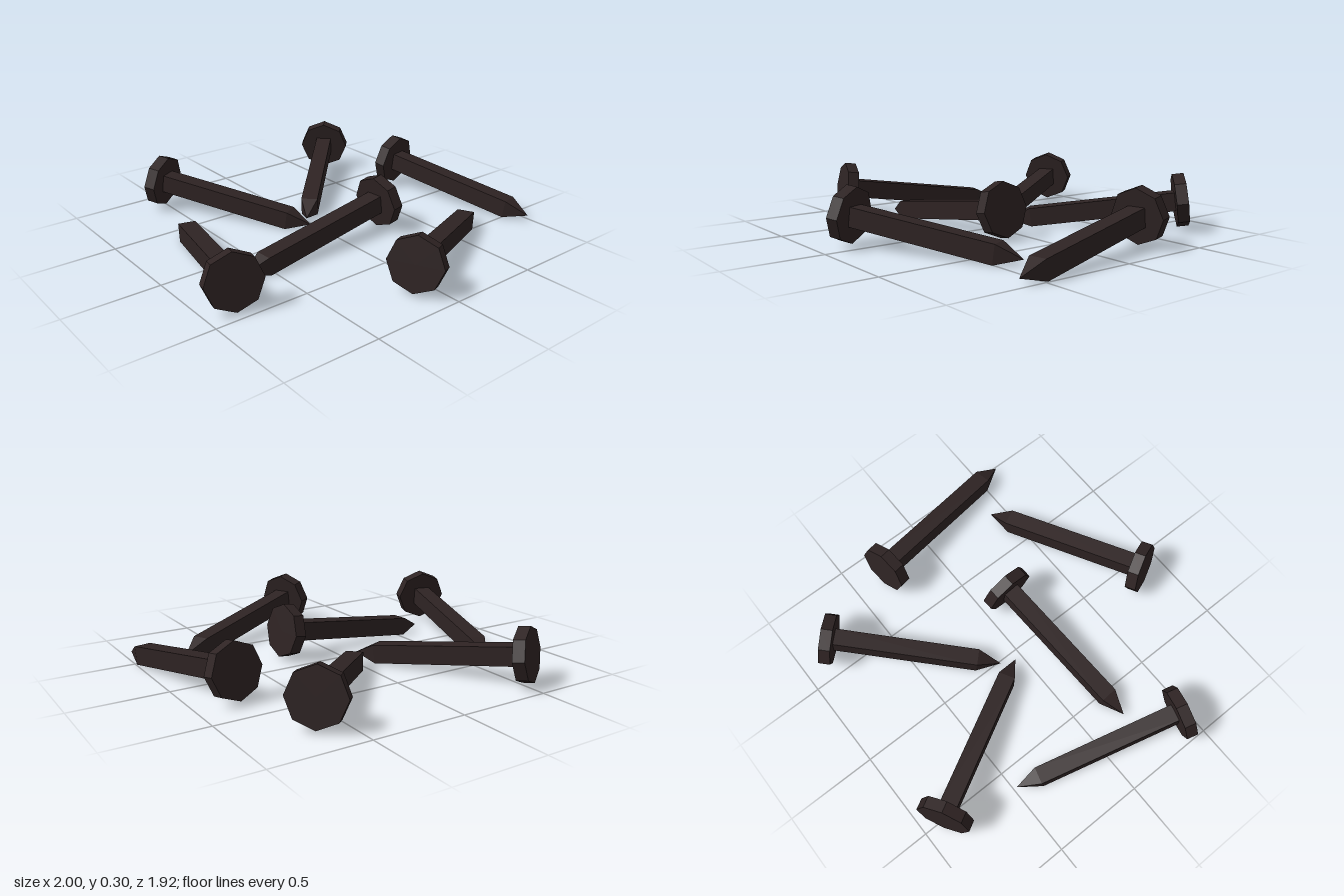
import * as THREE from 'three';

const iron = new THREE.MeshStandardMaterial({ color: 0x2e2323, flatShading: true });
iron.name = 'darkIron';

const LENGTH = 0.945, TIP = 0.13, WIDTH = 0.092, HEIGHT = 0.1;
const HEAD_RADIUS = 0.145, HEAD_THICKNESS = 0.062, HEAD_Y = 0.155, PITCH = 0.132;

// Head and tip positions of each nail on the ground, as [headX, headZ, tipX, tipZ]
const layout = [
  [-0.51, -0.865, -0.055, -0.05],
  [0.64, -0.79, -0.02, -0.125],
  [0.795, -0.295, 0.975, 0.625],
  [0.27, 0.15, -0.665, 0.215],
  [-0.095, 0.815, 0.75, 0.405],
  [-0.855, 0.42, -0.61, -0.485],
];

// Parts run along +z, with the centre of the head at the origin
function makeParts() {
  const head = new THREE.CylinderGeometry(HEAD_RADIUS, HEAD_RADIUS, HEAD_THICKNESS, 8);
  head.rotateX(Math.PI / 2);

  const shaft = new THREE.BoxGeometry(WIDTH, HEIGHT, LENGTH - TIP);
  shaft.translate(0, 0, (LENGTH - TIP) / 2);

  // Four-sided point, matching the section of the shaft
  const tip = new THREE.ConeGeometry(Math.SQRT1_2, TIP, 4, 1, true);
  tip.rotateY(Math.PI / 4).rotateX(Math.PI / 2);
  tip.scale(WIDTH, HEIGHT, 1);
  tip.translate(0, 0, LENGTH - TIP / 2);

  return { head, shaft, tip };
}

export function createModel() {
  const model = new THREE.Group();
  model.name = 'scatteredNails';
  const parts = makeParts();

  layout.forEach(([hx, hz, tx, tz], i) => {
    const nail = new THREE.Group();
    nail.name = `nail${i + 1}`;
    for (const [name, geometry] of Object.entries(parts)) {
      const mesh = new THREE.Mesh(geometry, iron);
      mesh.name = name;
      nail.add(mesh);
    }
    // Each nail rests on the rim of its head and the end of its shaft
    nail.position.set(hx, HEAD_Y, hz);
    nail.rotation.set(PITCH, Math.atan2(tx - hx, tz - hz), 0, 'YXZ');
    model.add(nail);
  });
  return model;
}
